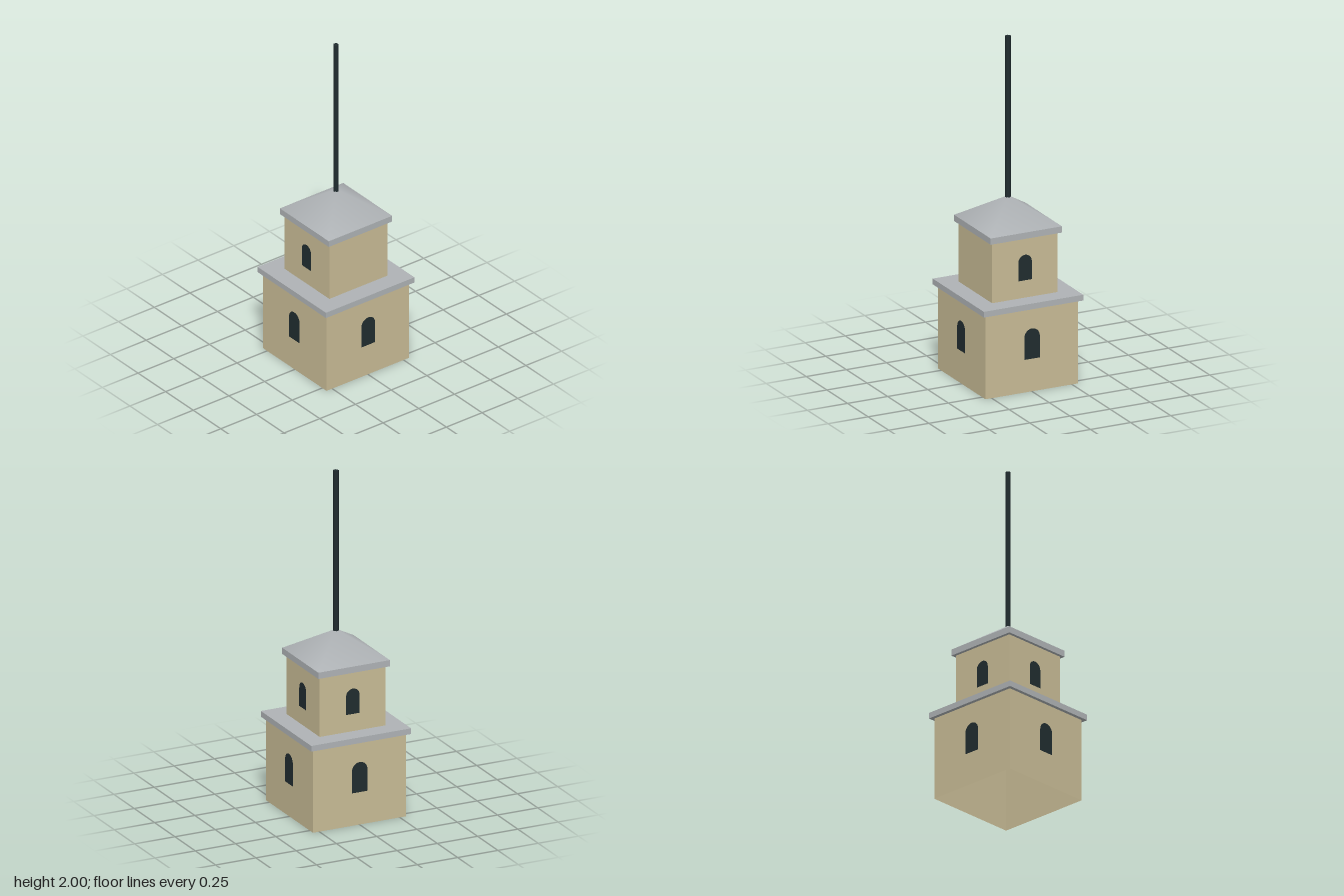
import * as THREE from 'three';

const stone = new THREE.MeshStandardMaterial({ color: 0xc8bb95, side: THREE.DoubleSide });
stone.name = 'sandstone';
const slate = new THREE.MeshStandardMaterial({ color: 0xaeb2b5 });
slate.name = 'pale grey';
const dark = new THREE.MeshStandardMaterial({ color: 0x202c2f, side: THREE.DoubleSide });
dark.name = 'dark slate';

function add(parent, name, geometry, material, x = 0, y = 0, z = 0) {
  const mesh = new THREE.Mesh(geometry, material);
  mesh.name = name;
  mesh.position.set(x, y, z);
  parent.add(mesh);
  return mesh;
}

// Round-headed window outline, standing on its sill at y = 0
function archGeometry(half, height) {
  const shape = new THREE.Shape();
  shape.moveTo(-half, 0);
  shape.lineTo(half, 0);
  shape.lineTo(half, height - half);
  shape.absarc(0, height - half, half, 0, Math.PI, false);
  shape.closePath();
  return new THREE.ShapeGeometry(shape, 8);
}

// Hollow square storey: four walls, with windows on the chosen sides
function storey(name, half, bottom, top, win) {
  const group = new THREE.Group();
  group.name = name;
  ['front', 'right', 'back', 'left'].forEach((label, i) => {
    const side = new THREE.Group();
    side.name = label + 'Side';
    side.rotation.y = i * Math.PI / 2;
    add(side, 'wall', new THREE.PlaneGeometry(half * 2, top - bottom), stone, 0, (bottom + top) / 2, half);
    if (win.sides.includes(i)) {
      add(side, 'window', archGeometry(win.half, win.height), dark, 0, win.sill, half + 0.003);
    }
    group.add(side);
  });
  return group;
}

// Square ledge slab
function ledge(parent, name, half, bottom, top) {
  add(parent, name, new THREE.BoxGeometry(half * 2, top - bottom, half * 2), slate, 0, (bottom + top) / 2, 0);
}

// Four-sided roof with softly blended hips
function roofGeometry(half, height) {
  const g = new THREE.BufferGeometry();
  const h = half;
  g.setAttribute('position', new THREE.Float32BufferAttribute(
    [-h, 0, h, h, 0, h, h, 0, -h, -h, 0, -h, 0, height, 0], 3));
  g.setIndex([0, 1, 4, 1, 2, 4, 2, 3, 4, 3, 0, 4]);
  g.computeVertexNormals();
  return g;
}

export function createModel() {
  const tower = new THREE.Group();
  tower.name = 'tower';

  // Lower storey and its ledge
  tower.add(storey('lowerStorey', 0.289, 0, 0.49, { sides: [0, 1, 2, 3], half: 0.048, sill: 0.193, height: 0.178 }));
  ledge(tower, 'lowerLedge', 0.31, 0.49, 0.524);

  // Upper storey (one side is blank) and its ledge
  tower.add(storey('upperStorey', 0.204, 0.524, 0.876, { sides: [0, 2, 3], half: 0.042, sill: 0.627, height: 0.15 }));
  ledge(tower, 'upperLedge', 0.222, 0.876, 0.913);

  // Roof and mast
  add(tower, 'roof', roofGeometry(0.222, 0.149), slate, 0, 0.913, 0);
  const mast = new THREE.CylinderGeometry(0.0155, 0.0155, 0.95, 8);
  mast.rotateY(Math.PI / 8);
  add(tower, 'mast', mast, dark, 0, 1.525, 0);

  return tower;
}
